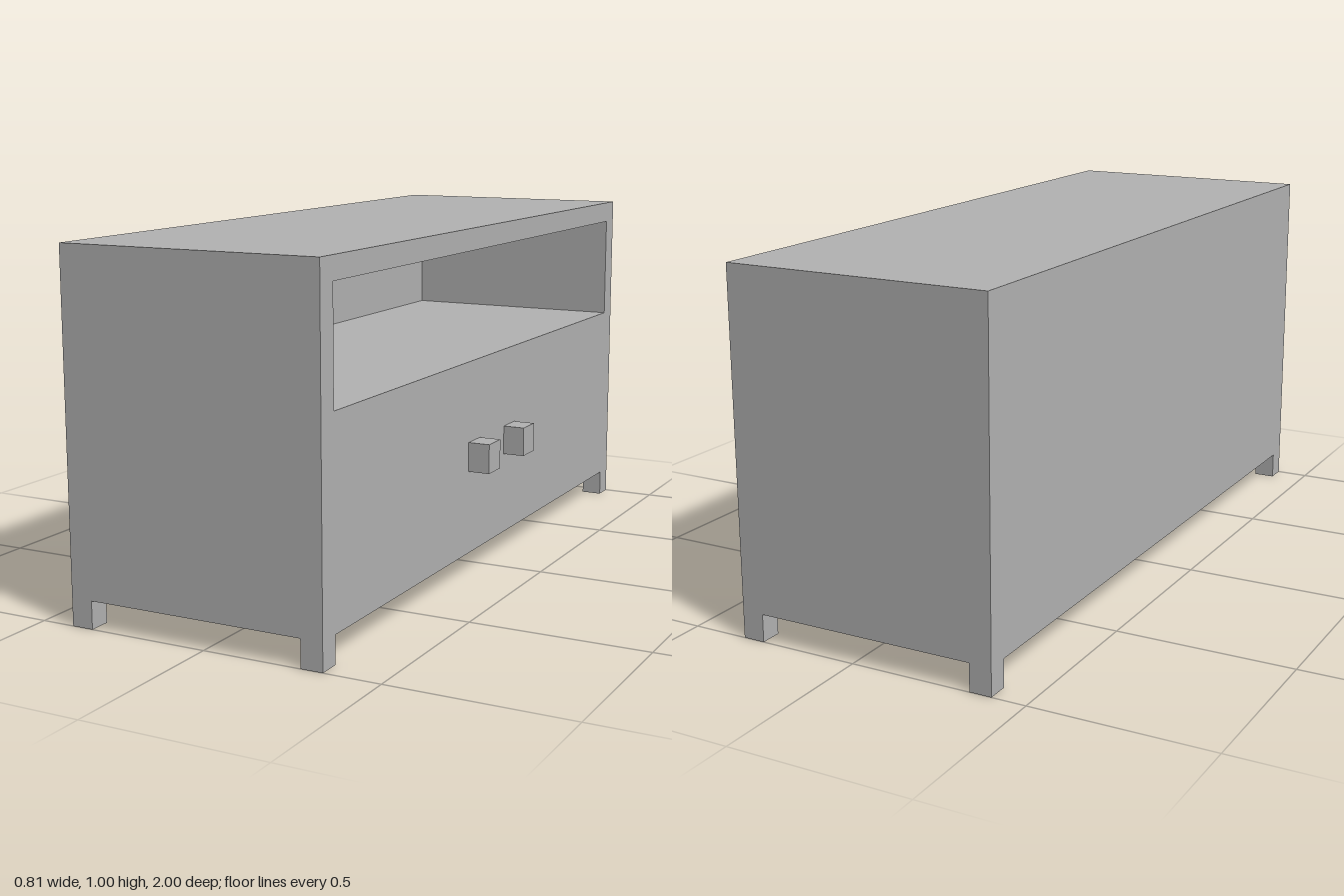
import * as THREE from 'three';

export function createModel() {
  const cabinet = new THREE.Group();
  cabinet.name = 'cabinet';
  const grey = new THREE.MeshStandardMaterial({ color: 0xb2b2b2 });
  grey.name = 'grey';

  // box given by its limits on each axis
  const box = (name, [x0, x1], [y0, y1], [z0, z1]) => {
    const mesh = new THREE.Mesh(new THREE.BoxGeometry(x1 - x0, y1 - y0, z1 - z0), grey);
    mesh.position.set((x0 + x1) / 2, (y0 + y1) / 2, (z0 + z1) / 2);
    mesh.name = name;
    cabinet.add(mesh);
  };

  const back = -0.405, front = 0.342, wall = 0.062;
  const base = 0.077, shelf = 0.63, inner = 1 - wall;

  // carcass: closed cupboard below, open shelf above
  box('cupboard', [back, front], [base, shelf], [-1, 1]);
  box('topPanel', [back, front], [inner, 1], [-1, 1]);
  box('backPanel', [back, back + wall], [shelf, inner], [-inner, inner]);

  for (const s of [-1, 1]) {
    const side = s > 0 ? 'Left' : 'Right';
    const end = s > 0 ? [inner, 1] : [-1, -inner];
    box('endPanel' + side, [back, front], [shelf, inner], end);

    // corner feet
    box('backFoot' + side, [back, back + wall], [0, base], end);
    box('frontFoot' + side, [front - wall, front], [0, base], end);

    // door handles
    box('handle' + side, [front, 0.405], [0.316, 0.4], [s * 0.125 - 0.039, s * 0.125 + 0.039]);
  }
  return cabinet;
}
